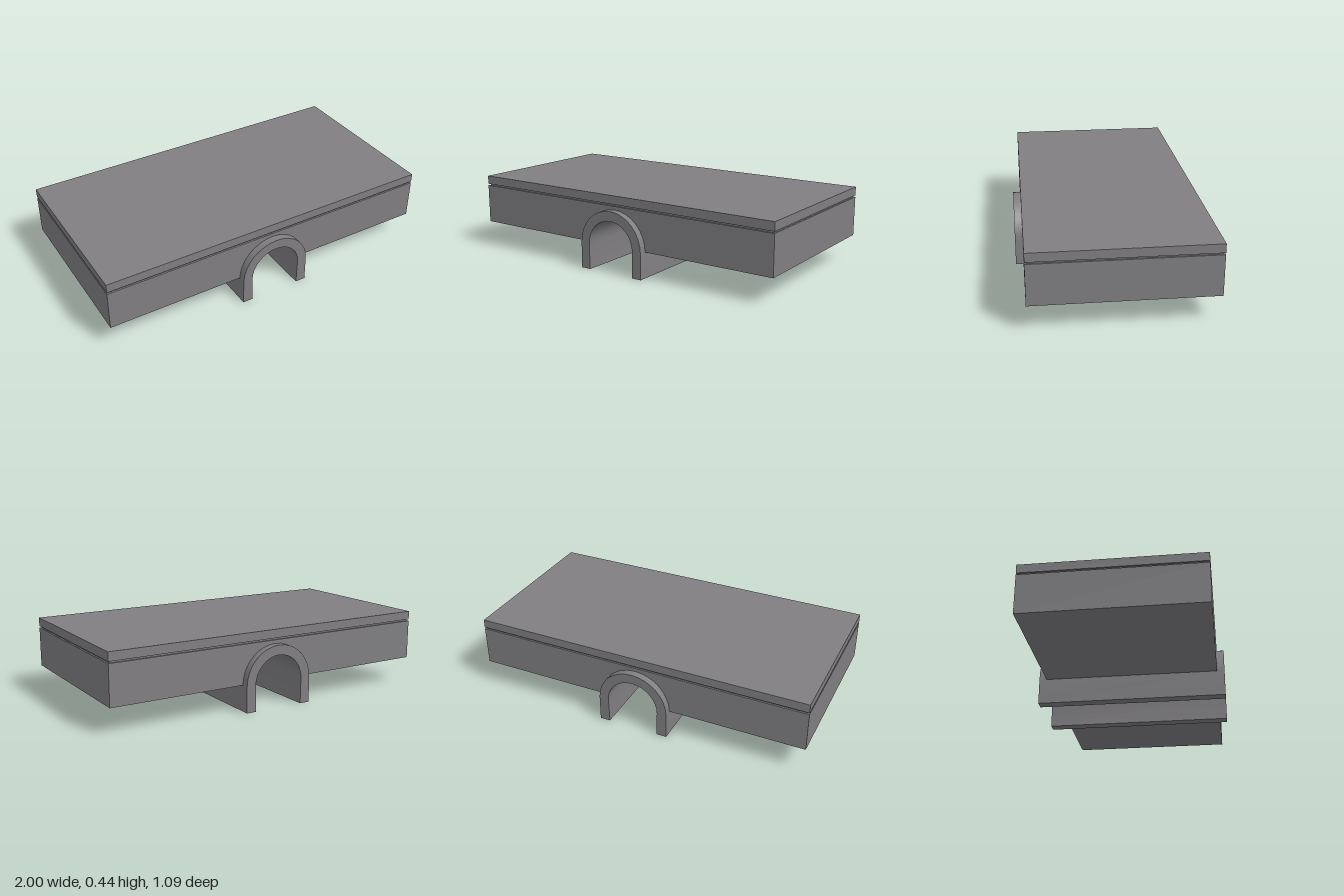
import * as THREE from 'three';
import { toCreasedNormals } from 'three/addons/utils/BufferGeometryUtils.js';

const SPRING = 0.15; // height where the arch begins to curve
const SEGMENTS = 8;

// Extrude a profile along z, centred on z = 0
function extrude(shape, depth) {
  const geometry = new THREE.ExtrudeGeometry(shape, { depth, bevelEnabled: false, curveSegments: SEGMENTS });
  geometry.translate(0, 0, -depth / 2);
  return toCreasedNormals(geometry, 0.6);
}

export function createModel() {
  const group = new THREE.Group();
  const stone = new THREE.MeshStandardMaterial({ color: 0x807e81 });
  stone.name = 'warm grey stone';

  const add = (name, geometry, y = 0) => {
    const mesh = new THREE.Mesh(geometry, stone);
    mesh.name = name;
    mesh.position.y = y;
    group.add(mesh);
  };

  // Road embankment, notched where the culvert passes through
  const body = new THREE.Shape();
  body.moveTo(-1, SPRING);
  body.lineTo(-0.2, SPRING);
  body.absarc(0, SPRING, 0.2, Math.PI, 0, true);
  body.lineTo(1, SPRING);
  body.lineTo(1, 0.38);
  body.lineTo(-1, 0.38);
  body.closePath();
  add('embankment', extrude(body, 1));

  // Shadow gap and top slab
  add('shadowGap', new THREE.BoxGeometry(1.98, 0.01, 0.98), 0.385);
  add('topSlab', new THREE.BoxGeometry(2, 0.05, 1), 0.415);

  // Arched culvert with straight legs, open at both ends
  const arch = new THREE.Shape();
  arch.moveTo(0.15, 0);
  arch.lineTo(0.21, 0);
  arch.absarc(0, SPRING, 0.21, 0, Math.PI, false);
  arch.lineTo(-0.21, 0);
  arch.lineTo(-0.15, 0);
  arch.absarc(0, SPRING, 0.153, Math.PI, 0, true);
  arch.closePath();
  add('culvertArch', extrude(arch, 1.085));

  return group;
}
